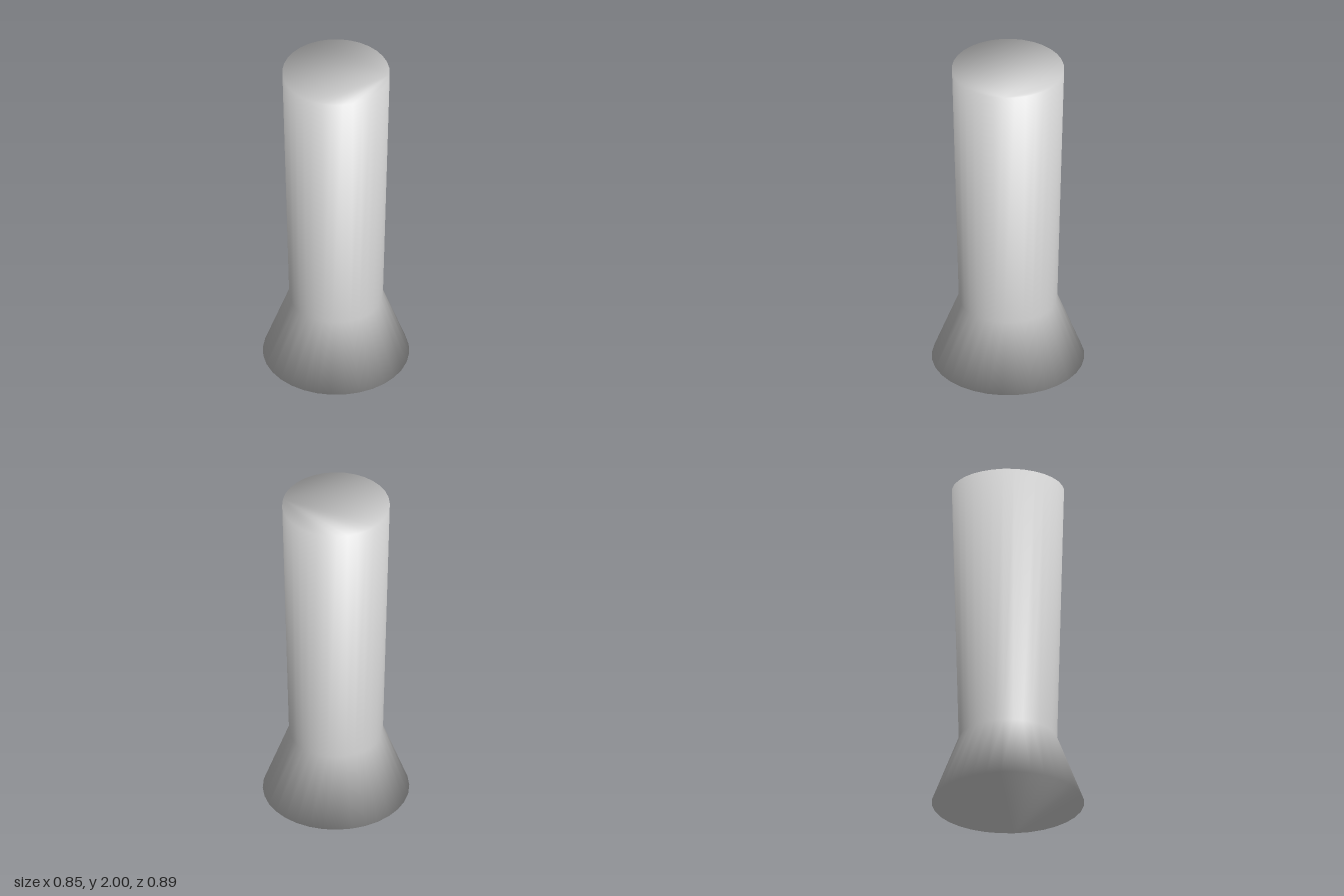
import * as THREE from 'three';

const SIDES = 32;

// Rings from floor to top: height, half width, half depth,
// and the tilt of the smooth normal above the horizontal (degrees).
const RINGS = [
  { y: 0, rx: 0.427, rz: 0.445, tilt: -35 },
  { y: 0.407, rx: 0.274, rz: 0.288, tilt: 9.5 },
  { y: 2, rx: 0.314, rz: 0.328, tilt: 44 },
];

// Closed elliptical column whose normals are shared between the wall and its caps
function columnGeometry() {
  const positions = [], normals = [], index = [];
  const normal = new THREE.Vector3();

  for (const { y, rx, rz, tilt } of RINGS) {
    const t = THREE.MathUtils.degToRad(tilt);
    for (let i = 0; i < SIDES; i++) {
      const a = ((i + 0.5) / SIDES) * Math.PI * 2;
      positions.push(rx * Math.cos(a), y, rz * Math.sin(a));
      normal.set(Math.cos(a) / rx, 0, Math.sin(a) / rz).setLength(Math.cos(t));
      normals.push(normal.x, Math.sin(t), normal.z);
    }
  }

  // Wall between neighbouring rings
  for (let r = 0; r < RINGS.length - 1; r++) {
    for (let i = 0; i < SIDES; i++) {
      const a = r * SIDES + i, b = r * SIDES + (i + 1) % SIDES;
      index.push(a, a + SIDES, b, b, a + SIDES, b + SIDES);
    }
  }

  // Flat bottom and top
  const top = (RINGS.length - 1) * SIDES;
  for (let i = 1; i < SIDES - 1; i++) {
    index.push(0, i, i + 1);
    index.push(top, top + i + 1, top + i);
  }

  const geometry = new THREE.BufferGeometry();
  geometry.setAttribute('position', new THREE.Float32BufferAttribute(positions, 3));
  geometry.setAttribute('normal', new THREE.Float32BufferAttribute(normals, 3));
  geometry.setIndex(index);
  return geometry;
}

export function createModel() {
  const group = new THREE.Group();
  group.name = 'flaredColumn';
  const material = new THREE.MeshStandardMaterial({ color: 0xcccccc });
  const column = new THREE.Mesh(columnGeometry(), material);
  column.name = 'shaftWithFlaredFoot';
  group.add(column);
  return group;
}
